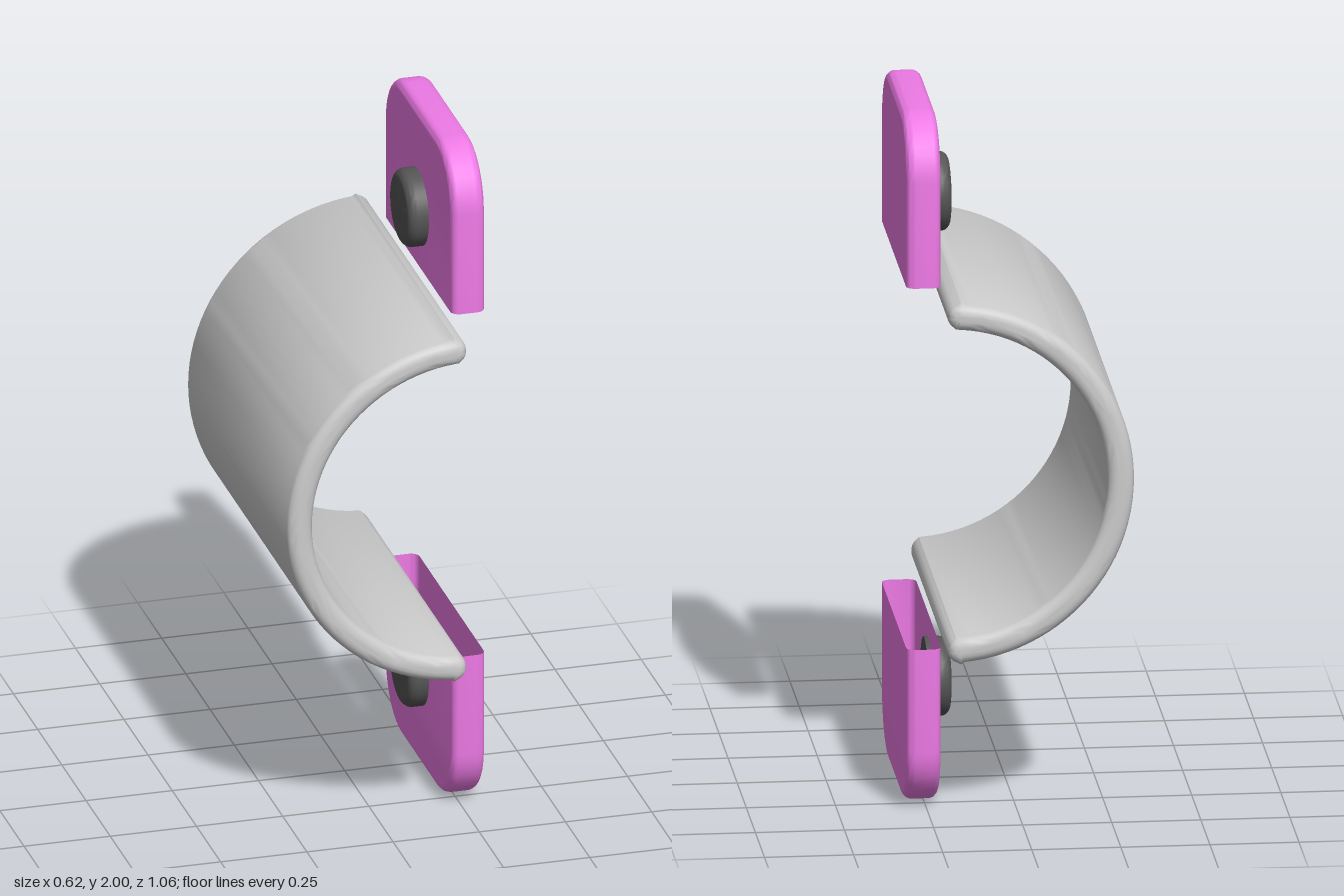
import * as THREE from 'three';
import { toCreasedNormals } from 'three/addons/utils/BufferGeometryUtils.js';

const grey = new THREE.MeshStandardMaterial({ color: 0xcccccc });
const pink = new THREE.MeshStandardMaterial({ color: 0xee7ae6, side: THREE.DoubleSide });
const dark = new THREE.MeshStandardMaterial({ color: 0x555555 });

const CENTRE_Y = 1;

// Points along a circular arc, both ends included
function arc(cx, cy, r, from, to, steps) {
  return Array.from({ length: steps + 1 }, (_, i) => {
    const a = from + ((to - from) * i) / steps;
    return new THREE.Vector2(cx + r * Math.cos(a), cy + r * Math.sin(a));
  });
}

// Extrusion with rounded rims; bevel grows the outline by the same amount
function roundedExtrude(points, depth, bevel) {
  return new THREE.ExtrudeGeometry(new THREE.Shape(points), {
    depth: depth - 2 * bevel,
    bevelEnabled: true,
    bevelThickness: bevel,
    bevelSize: bevel,
    bevelSegments: 5,
  });
}

// Half-round shell, open towards +x, with rounded rims and tips
function shellGeometry() {
  const outer = 0.5225, inner = 0.447, bevel = 0.03, r = 0.005, length = 1.06;
  const R = outer - bevel, q = inner + bevel, h = Math.PI / 2;
  const tip = -bevel; // inset so that the tips end on the centre plane
  const c = tip - r;
  const a = Math.acos(c / R), b = Math.acos(c / q);
  const outline = [
    ...arc(0, 0, R, a, 2 * Math.PI - a, 48),
    ...arc(c, -R + r, r, -h + 0.3, 0, 4),
    ...arc(c, -q - r, r, 0, h - 0.3, 4),
    ...arc(0, 0, q, 2 * Math.PI - b, b, 48),
    ...arc(c, q + r, r, -h + 0.3, 0, 4),
    ...arc(c, R - r, r, 0, h - 0.3, 4),
  ];
  const geo = roundedExtrude(outline, length, bevel);
  geo.translate(0, 0, -length / 2 + bevel);
  return toCreasedNormals(geo, 0.7);
}

// Hollow tab: rounded outer corners, cut open at the end next to the shell
function tabGeometry() {
  const bevel = 0.025, half = 0.355 - bevel, top = 1 - bevel, cut = 0.525;
  const r = 0.15, thickness = 0.097;
  const outline = [
    new THREE.Vector2(-half, cut - 0.1),
    new THREE.Vector2(half, cut - 0.1),
    ...arc(half - r, top - r, r, 0, Math.PI / 2, 10),
    ...arc(-half + r, top - r, r, Math.PI / 2, Math.PI, 10),
  ];
  const full = roundedExtrude(outline, thickness, bevel);
  full.rotateY(Math.PI / 2);
  full.translate(0.213 + bevel, 0, 0);
  // Pull everything below the cut up to it and drop the end faces
  const pos = full.attributes.position;
  const kept = [];
  for (let i = 0; i < pos.count; i += 3) {
    const ids = [i, i + 1, i + 2];
    if (ids.every((k) => pos.getY(k) <= cut)) continue;
    for (const k of ids) kept.push(pos.getX(k), Math.max(pos.getY(k), cut), pos.getZ(k));
  }
  const geo = new THREE.BufferGeometry();
  geo.setAttribute('position', new THREE.Float32BufferAttribute(kept, 3));
  return toCreasedNormals(geo, 0.7);
}

// Round button on the inner face of a tab, facing -x
function buttonGeometry() {
  const radius = 0.112, height = 0.068, r = 0.026;
  const profile = [
    new THREE.Vector2(0, 0),
    new THREE.Vector2(radius, 0),
    ...arc(radius - r, height - r, r, 0, Math.PI / 2, 6),
    new THREE.Vector2(0, height),
  ];
  const geo = new THREE.LatheGeometry(profile, 40);
  geo.rotateZ(Math.PI / 2);
  geo.translate(0.225, 0.705, 0);
  return toCreasedNormals(geo, 0.7);
}

function part(name, geometry, material) {
  const mesh = new THREE.Mesh(geometry, material);
  mesh.name = name;
  return mesh;
}

export function createModel() {
  const model = new THREE.Group();
  model.name = 'pipeClamp';

  const shell = part('halfRoundShell', shellGeometry(), grey);
  shell.position.set(0.21, CENTRE_Y, 0);
  model.add(shell);

  // Upper tab with its button, and the same turned over below
  const tab = tabGeometry();
  const button = buttonGeometry();
  for (const [name, turn] of [['upper', 0], ['lower', Math.PI]]) {
    const group = new THREE.Group();
    group.name = `${name}Flange`;
    group.add(part(`${name}Tab`, tab, pink), part(`${name}Button`, button, dark));
    group.rotation.x = turn;
    group.position.y = CENTRE_Y;
    model.add(group);
  }
  return model;
}
